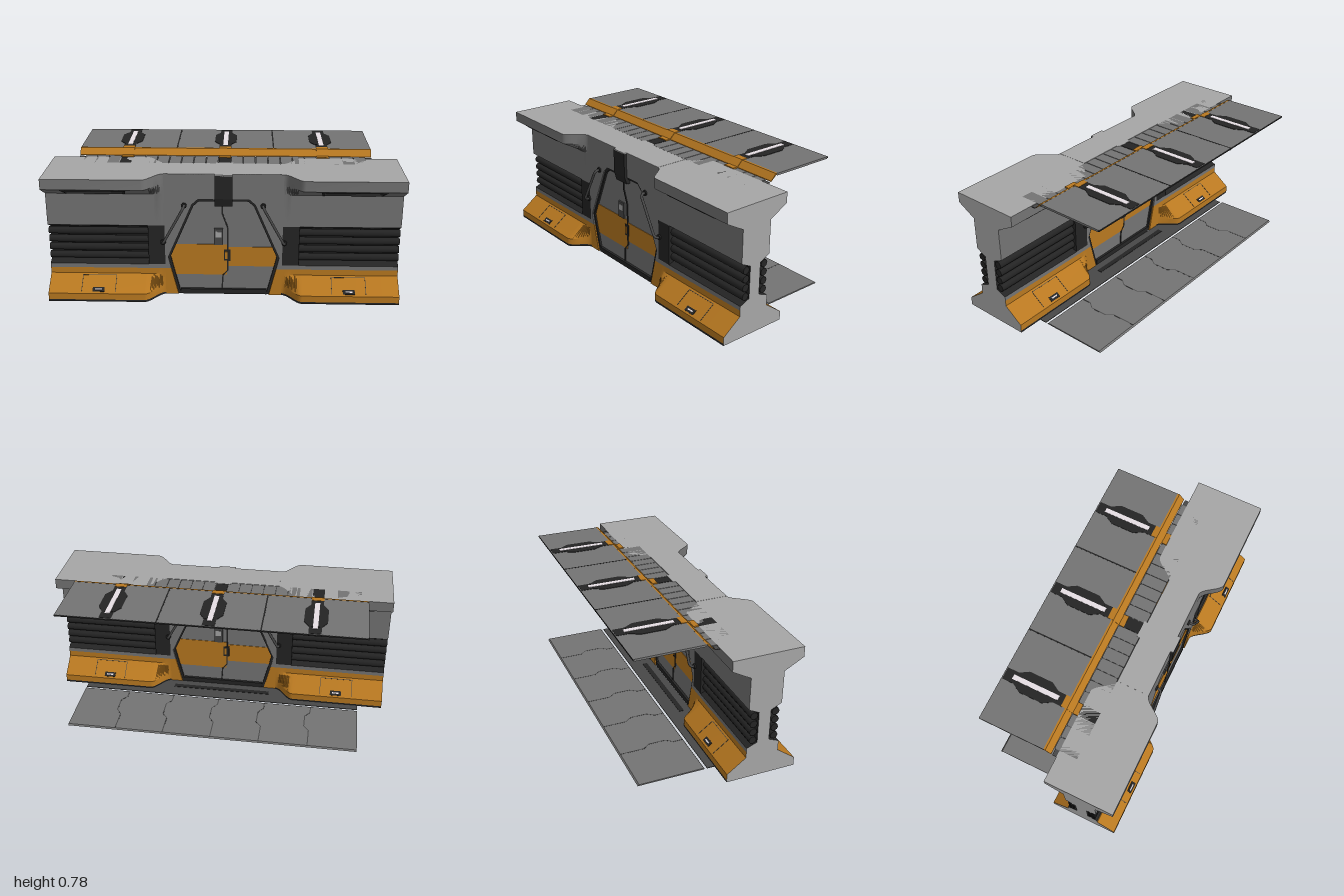
import * as THREE from 'three';
import { toCreasedNormals } from 'three/addons/utils/BufferGeometryUtils.js';

const mat = (name, color, double) => {
  const m = new THREE.MeshStandardMaterial({ color });
  m.name = name;
  if (double) m.side = THREE.DoubleSide;
  return m;
};

export function createModel() {
  const M = {
    light: mat('light grey', 0xa6a6a6), grey: mat('panel grey', 0x747474),
    orange: mat('orange', 0xb87820), black: mat('black', 0x242424),
    dark: mat('dark grey', 0x484848), white: mat('lamp white', 0xe6dfe4),
  };
  const root = new THREE.Group();
  root.name = 'corridorSection';

  const add = (parent, name, geo, m, x = 0, y = 0, z = 0) => {
    const mesh = new THREE.Mesh(geo, m);
    mesh.name = name;
    mesh.position.set(x, y, z);
    parent.add(mesh);
    return mesh;
  };
  const box = (parent, name, m, w, h, d, x, y, z) =>
    add(parent, name, new THREE.BoxGeometry(w, h, d), m, x, y, z);
  const poly = (pts) => new THREE.Shape(pts.map(([a, b]) => new THREE.Vector2(a, b)));
  const extrude = (pts, depth) =>
    new THREE.ExtrudeGeometry(poly(pts), { depth, bevelEnabled: false });
  // side profile given as [z, y], swept along x and centred
  const slabX = (pts, width) =>
    extrude(pts.map(([z, y]) => [-z, y]), width).translate(0, 0, -width / 2).rotateY(Math.PI / 2);
  // mirrored outline, in the front plane, centred in depth
  const slabZ = (pts, depth) => extrude(pts, depth).translate(0, 0, -depth / 2);

  // ---- wall: cross-sections lofted along x ----
  const wall = new THREE.Group();
  wall.name = 'wall';
  wall.position.z = 0.2325;
  root.add(wall);
  const CORE = 0.095, OUT = 0.1075, X0 = 0.335, X1 = 0.45, VENT = 0.43;

  // e = how far skirt and cornice stand out, n = depth of the vent recess
  const profile = (e, n) => {
    const half = [[0, e], [0.012, e], [0.05, e], [0.13, 0], [0.165, 0], [0.19, 0], [0.215, 0, n],
      [0.4, 0, n], [0.43, 0], [0.62, 0], [0.68, e], [0.74, e]]
      .map(([y, o, v = 0]) => [CORE + OUT * o - 0.06 * v, y]);
    return [...half, ...half.map(([z, y]) => [-z, y]).reverse()];
  };
  const bands = ['black', 'orange', 'orange', 'orange', 'grey', 'black', 'black', 'black', 'grey', 'grey', 'grey'];
  const loopBands = [...bands, 'light', ...[...bands].reverse(), 'light'];
  const ease = (x) => THREE.MathUtils.smoothstep(x, X0, X1);
  const stations = [];
  for (let i = 0; i <= 10; i++) {
    const x = X0 + (VENT - X0) * i / 10;
    stations.push([x, ease(x), 0]);
  }
  stations.push([VENT, ease(VENT), 1], [0.44, ease(0.44), 1], [X1, 1, 1], [1, 1, 1]);

  for (const s of [1, -1]) {
    const list = stations.map(([x, e, n]) => [s * x, profile(e, n)]);
    if (s < 0) list.reverse();
    const tris = {};
    for (let i = 0; i < list.length - 1; i++) {
      const [xa, A] = list[i], [xb, B] = list[i + 1];
      A.forEach((p, j) => {
        const k = (j + 1) % A.length;
        const a = [xa, A[j][1], A[j][0]], b = [xb, B[j][1], B[j][0]];
        const c = [xb, B[k][1], B[k][0]], d = [xa, A[k][1], A[k][0]];
        (tris[loopBands[j]] ??= []).push(...a, ...b, ...c, ...a, ...c, ...d);
      });
    }
    for (const key in tris) {
      const g = new THREE.BufferGeometry();
      g.setAttribute('position', new THREE.Float32BufferAttribute(tris[key], 3));
      g.computeVertexNormals();
      add(wall, 'wallSide', toCreasedNormals(g, 0.45), M[key]);
    }
    add(wall, 'wallEnd', new THREE.ShapeGeometry(poly(profile(1, 1))).rotateY(s * Math.PI / 2), M.light, s);
    // door jambs below the band line
    add(wall, 'doorJamb', slabZ([[s * X0, 0], [s * X0, 0.165], [s * 0.302, 0.165], [s * 0.262, 0]], CORE * 2), M.orange);
  }

  // arch over the door
  const doorHalf = [[0.262, 0], [0.302, 0.165], [0.318, 0.235], [0.178, 0.56], [0.145, 0.59]];
  const flip = (pts) => pts.map(([x, y]) => [-x, y]).reverse();
  const archInner = doorHalf.slice(1);
  add(wall, 'doorArch', slabZ([[X0, 0.165], ...[[X0, 0.74], [-X0, 0.74]], [-X0, 0.165],
    ...flip(archInner).reverse(), ...[...archInner].reverse()], CORE * 2), M.grey);
  box(wall, 'archTop', M.light, X0 * 2, 0.002, CORE * 2, 0, 0.74, 0);

  // sliding door leaf and its dark surround
  const doorOutline = [...doorHalf, ...flip(doorHalf)];
  const shrink = (k) => doorOutline.map(([x, y]) => [x * k, 0.3 + (y - 0.3) * k]);
  const surround = poly(doorOutline);
  surround.holes.push(new THREE.Path(shrink(0.955).map(([x, y]) => new THREE.Vector2(x, y))));
  add(wall, 'doorSurround', new THREE.ExtrudeGeometry(surround, { depth: 0.174, bevelEnabled: false })
    .translate(0, 0, -0.087), M.black);
  add(wall, 'doorLeaves', slabZ(shrink(0.97), 0.15), M.grey);
  box(wall, 'threshold', M.black, 0.5, 0.03, 0.18, 0, 0.016, 0);

  // ---- details carried by both faces of the wall ----
  const faceDetails = (turn) => {
    const f = new THREE.Group();
    f.name = turn ? 'backDetails' : 'frontDetails';
    f.rotation.y = turn;
    wall.add(f);
    const D = 0.076;
    // painted band, one height per leaf
    add(f, 'doorBandLeft', slabZ([[-0.28, 0.12], [0.02, 0.12], [0.02, 0.31], [-0.277, 0.31], [-0.303, 0.235]], 0.004), M.orange, 0, 0, D);
    add(f, 'doorBandRight', slabZ([[0.02, 0.175], [0.292, 0.175], [0.303, 0.235], [0.28, 0.295], [0.02, 0.295]], 0.004), M.orange, 0, 0, D);
    // stepped seam between the leaves
    const seam = [[-0.008, 0.57], [-0.008, 0.5], [0.024, 0.41], [0.024, 0.15], [-0.004, 0.115], [-0.01, 0.02]];
    add(f, 'doorSeam', slabZ([...seam.map(([x, y]) => [x - 0.004, y]),
      ...seam.map(([x, y]) => [x + 0.004, y]).reverse()], 0.008), M.black, 0, 0, D);
    box(f, 'doorPull', M.black, 0.036, 0.07, 0.012, 0.02, 0.245, D);
    box(f, 'doorPullGrip', M.orange, 0.014, 0.045, 0.016, 0.014, 0.245, D);
    box(f, 'keypad', M.dark, 0.052, 0.1, 0.016, -0.03, 0.36, D);
    box(f, 'keypadScreen', M.light, 0.034, 0.035, 0.02, -0.03, 0.375, D);
    // bracket above the door
    add(f, 'bracket', slabX([[0.07, 0.736], [0.112, 0.736], [0.112, 0.6], [0.097, 0.55], [0.07, 0.55]], 0.1), M.black);
    box(f, 'bracketCap', M.light, 0.1, 0.006, 0.04, 0, 0.738, 0.092);

    for (const s of [1, -1]) {
      // grab handle
      const ends = [[0.222, 0.555], [0.345, 0.33]];
      const at = (t, z) => new THREE.Vector3(s * (0.222 + 0.123 * t), 0.555 - 0.225 * t, z);
      const path = new THREE.CatmullRomCurve3([at(0, 0.09), at(0, 0.113), at(0.06, 0.127), at(0.2, 0.128),
        at(0.8, 0.128), at(0.94, 0.127), at(1, 0.113), at(1, 0.09)], false, 'catmullrom', 0.3);
      add(f, 'grabHandle', new THREE.TubeGeometry(path, 32, 0.008, 8), M.dark);
      for (const [x, y] of ends)
        add(f, 'handleBoss', new THREE.CylinderGeometry(0.016, 0.016, 0.012, 10).rotateX(Math.PI / 2), M.black, s * x, y, 0.098);
      // vent pipes
      for (let i = 0; i < 4; i++)
        add(f, 'ventPipe', new THREE.CylinderGeometry(0.022, 0.022, 0.57, 8).rotateZ(Math.PI / 2),
          M.black, s * 0.715, 0.235 + i * 0.05, 0.0625);
      // tray under the cornice, lying on its slope
      const tray = new THREE.Group();
      tray.name = 'corniceTray';
      tray.position.set(s * 0.715, 0.65, 0.14875);
      tray.rotation.x = Math.atan2(0.1075, 0.06);
      f.add(tray);
      const trayShape = (w, h) => [[-w, h], [w, h], [w * 0.92, -h], [-w * 0.92, -h]];
      add(tray, 'trayRim', slabZ(trayShape(0.18, 0.05), 0.006), M.black);
      add(tray, 'trayFloor', slabZ(trayShape(0.168, 0.041), 0.009), M.dark);
      // hatch and label plate on the skirt slope
      const hatch = new THREE.Group();
      hatch.name = 'skirtHatch';
      hatch.position.set(s * 0.715, 0.09, 0.14875);
      hatch.rotation.x = -Math.atan2(0.1075, 0.08);
      f.add(hatch);
      for (const k of [-1, 1]) box(hatch, 'hatchSeam', M.dark, 0.003, 0.11, 0.003, k * 0.097, 0, 0);
      box(hatch, 'hatchSeam', M.dark, 0.194, 0.003, 0.003, 0, 0.054, 0);
      box(hatch, 'labelPlate', M.black, 0.068, 0.03, 0.005, 0, -0.04, 0);
      box(hatch, 'labelMark', M.white, 0.04, 0.008, 0.008, 0, -0.04, 0);
    }
  };
  faceDetails(0);
  faceDetails(Math.PI);

  // ---- ceiling ----
  const ceiling = new THREE.Group();
  ceiling.name = 'ceiling';
  root.add(ceiling);
  const W = 1.71;
  add(ceiling, 'ceilingPanel', slabX([[-0.037, 0.775], [-0.435, 0.775], [-0.428, 0.763], [-0.045, 0.763]], W), M.grey);
  add(ceiling, 'ceilingSlope', slabX([[-0.045, 0.777], [-0.034, 0.776], [-0.002, 0.742], [-0.002, 0.738], [-0.04, 0.77]], W), M.orange);
  box(ceiling, 'ceilingBackEdge', M.black, W, 0.008, 0.008, 0, 0.77, -0.432);
  for (const x of [-0.285, 0.285]) box(ceiling, 'ceilingSeam', M.black, 0.008, 0.0135, 0.39, x, 0.769, -0.24);
  const housing = [[0.035, -0.36], [0.065, -0.31], [0.065, -0.17], [0.035, -0.12]];
  for (const x of [-0.57, 0, 0.57]) {
    box(ceiling, 'lampStrip', M.black, 0.07, 0.015, 0.36, x, 0.769, -0.25);
    add(ceiling, 'lampHousing', extrude([...housing, ...housing.map(([a, b]) => [-a, b]).reverse()], 0.017)
      .rotateX(Math.PI / 2), M.black, x, 0.7775, 0);
    box(ceiling, 'lamp', M.white, 0.028, 0.02, 0.28, x, 0.769, -0.24);
    add(ceiling, 'slopeTab', slabX([[-0.07, 0.778], [-0.034, 0.778], [0, 0.745], [0.03, 0.745], [0.03, 0.738], [-0.004, 0.738], [-0.04, 0.77], [-0.07, 0.77]], 0.07), M.orange, x);
  }
  // ribs reaching back to the wall
  for (let i = -11; i <= 11; i++)
    box(ceiling, 'ceilingRib', i % 8 ? M.grey : M.black, 0.067, 0.01, 0.135, i * 0.0713, 0.735, 0.0675);
  box(ceiling, 'ribBacking', M.dark, W, 0.004, 0.125, 0, 0.735, 0.0675);

  // ---- floor ----
  const floor = new THREE.Group();
  floor.name = 'floor';
  root.add(floor);
  add(floor, 'floorPanel', slabX([[-0.028, 0], [-0.034, 0.008], [-0.41, 0.008], [-0.418, 0]], W), M.grey);
  for (let i = -2; i <= 2; i++) {
    // stepped joints between the tiles
    const line = [[0, -0.41], [0, -0.27], [0.03, -0.23], [0.03, -0.13], [0, -0.09], [0, -0.034]];
    add(floor, 'floorSeam', extrude([...line.map(([x, z]) => [x - 0.003, z]),
      ...line.map(([x, z]) => [x + 0.003, z]).reverse()], 0.0085).rotateX(Math.PI / 2), M.dark, i * 0.285, 0.0087, 0);
  }
  add(floor, 'floorSill', slabX([[-0.015, 0], [-0.015, 0.004], [0.14, 0.004], [0.14, 0]], W), M.dark);
  box(floor, 'sillGrip', M.black, 0.6, 0.004, 0.03, 0, 0.004, 0.08);
  return root;
}
